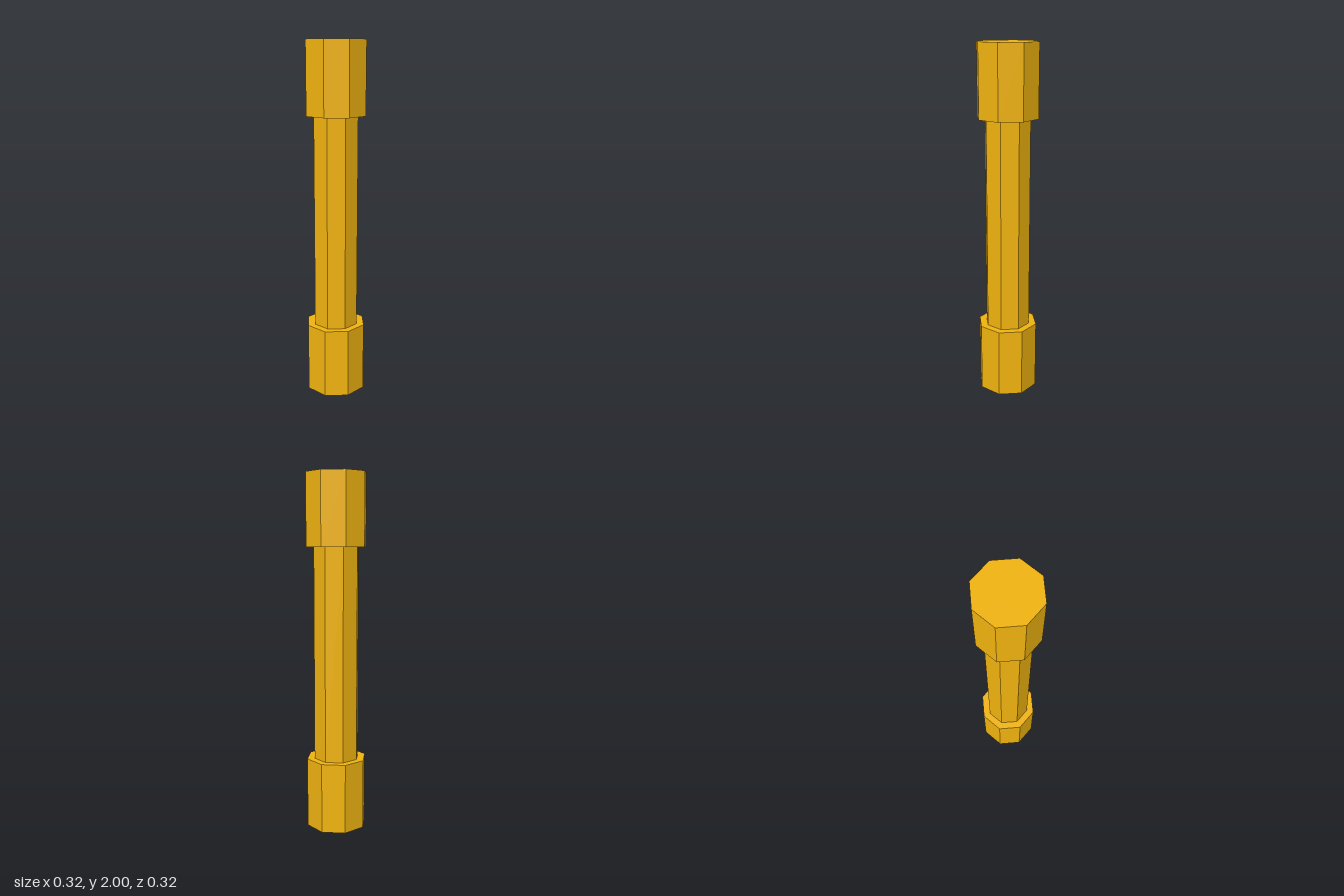
import * as THREE from 'three';

export function createModel() {
  const group = new THREE.Group();
  group.name = 'octagonalBar';
  const material = new THREE.MeshStandardMaterial({ color: 0xf2b40f, flatShading: true });

  // Upright octagonal prism with a flat side facing front; apothem = centre to flat side
  function addPrism(name, apothem, bottom, top) {
    const radius = apothem / Math.cos(Math.PI / 8);
    const geometry = new THREE.CylinderGeometry(radius, radius, top - bottom, 8);
    geometry.rotateY(Math.PI / 8);
    const mesh = new THREE.Mesh(geometry, material);
    mesh.name = name;
    mesh.position.y = (bottom + top) / 2;
    group.add(mesh);
  }

  addPrism('lowerEnd', 0.16, 0, 0.4);
  addPrism('shaft', 0.12, 0.4, 1.6);
  addPrism('upperEnd', 0.16, 1.6, 2);

  return group;
}
